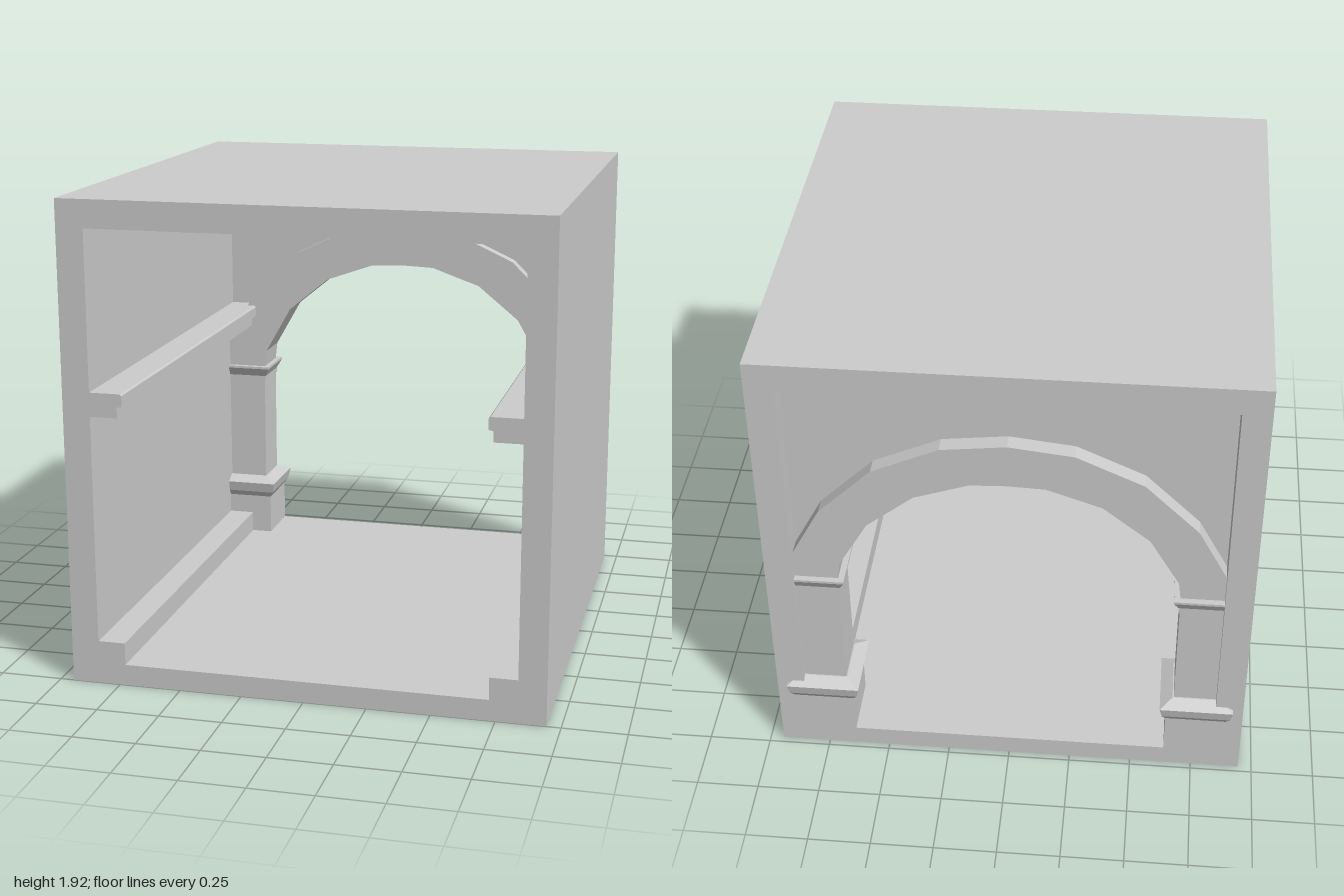
import * as THREE from 'three';

export function createModel() {
  const group = new THREE.Group();
  const material = new THREE.MeshStandardMaterial({ color: 0xcccccc, flatShading: true });
  const add = (name, geometry) => {
    const mesh = new THREE.Mesh(geometry, material);
    mesh.name = name;
    group.add(mesh);
    return mesh;
  };
  const points = (list) => list.map(([x, y]) => new THREE.Vector2(x, y));
  const mirrorX = (list) => list.map(([x, y]) => [-x, y]).reverse();
  // Extrude an outline between two z positions
  const extrude = (outline, z0, z1, hole) => {
    const shape = new THREE.Shape(points(outline));
    if (hole) shape.holes.push(new THREE.Path(points(hole)));
    return new THREE.ExtrudeGeometry(shape, { depth: z1 - z0, bevelEnabled: false }).translate(0, 0, z0);
  };
  const rect = (x, y0, y1) => [[-x, y0], [x, y0], [x, y1], [-x, y1]];

  // Square tube: floor, ceiling and side walls
  add('tunnelShell', extrude(rect(0.945, 0, 1.925), -0.975, 1, rect(0.835, 0.085, 1.815)));

  // Arch half-curves from the springing to the crown, on the +x side
  const inner = [[0.665, 0.89], [0.655, 0.97], [0.538, 1.175], [0.355, 1.325], [0.142, 1.4]];
  const outer = [[0.85, 0.89], [0.85, 0.985], [0.72, 1.23], [0.51, 1.44], [0.25, 1.56]];
  const innerArc = [...inner, [0, 1.406], ...mirrorX(inner)];
  const outerArc = [...outer, [0, 1.59], ...mirrorX(outer)];

  // Thin recessed wall above the opening, and the deeper arch band
  const wall = [[-0.84, 0.89], [-0.84, 1.82], [0.84, 1.82], [0.84, 0.89], ...innerArc];
  const archBack = -0.945, archFront = -0.76;
  // The wall outline sits just inside the band, so its cut edge stays hidden
  const wallOutline = wall.map(([x, y], i) => (i < 4 ? [x, y] : [x * 1.03, y + 0.02]));
  add('recessedWall', extrude(wallOutline, -0.88, -0.82));
  add('archBand', extrude([...outerArc, ...innerArc.slice().reverse()], archBack, archFront));

  // Half-width and height of the square pillar: plinth, base moulding, shaft, capital
  const pillarProfile = points([
    [0, 0.08], [0.122, 0.08], [0.122, 0.26], [0.137, 0.285], [0.147, 0.33], [0.0975, 0.355],
    [0.0925, 0.355], [0.0925, 0.825], [0.0975, 0.825], [0.0975, 0.848], [0.117, 0.885],
    [0.117, 0.895], [0, 0.895],
  ]).map((p) => new THREE.Vector2(p.x * Math.SQRT2, p.y));

  // Side rail and skirting cross-sections on the +x wall
  const rail = [
    [0.84, 1.09], [0.725, 1.09], [0.725, 1.132], [0.705, 1.136],
    [0.705, 1.178], [0.712, 1.185], [0.84, 1.185],
  ].reverse();
  const skirting = [[0.725, 0.08], [0.84, 0.08], [0.84, 0.175], [0.725, 0.175]];

  for (const [side, s] of [['left', 1], ['right', -1]]) {
    const pillar = add(side + 'Pillar', new THREE.LatheGeometry(pillarProfile, 4, Math.PI / 4));
    pillar.position.set(s * 0.7575, 0, -0.853);
    add(side + 'Rail', extrude(s > 0 ? rail : mirrorX(rail), -0.83, 1));
    add(side + 'Skirting', extrude(s > 0 ? skirting : mirrorX(skirting), -0.83, 1));
  }
  return group;
}
